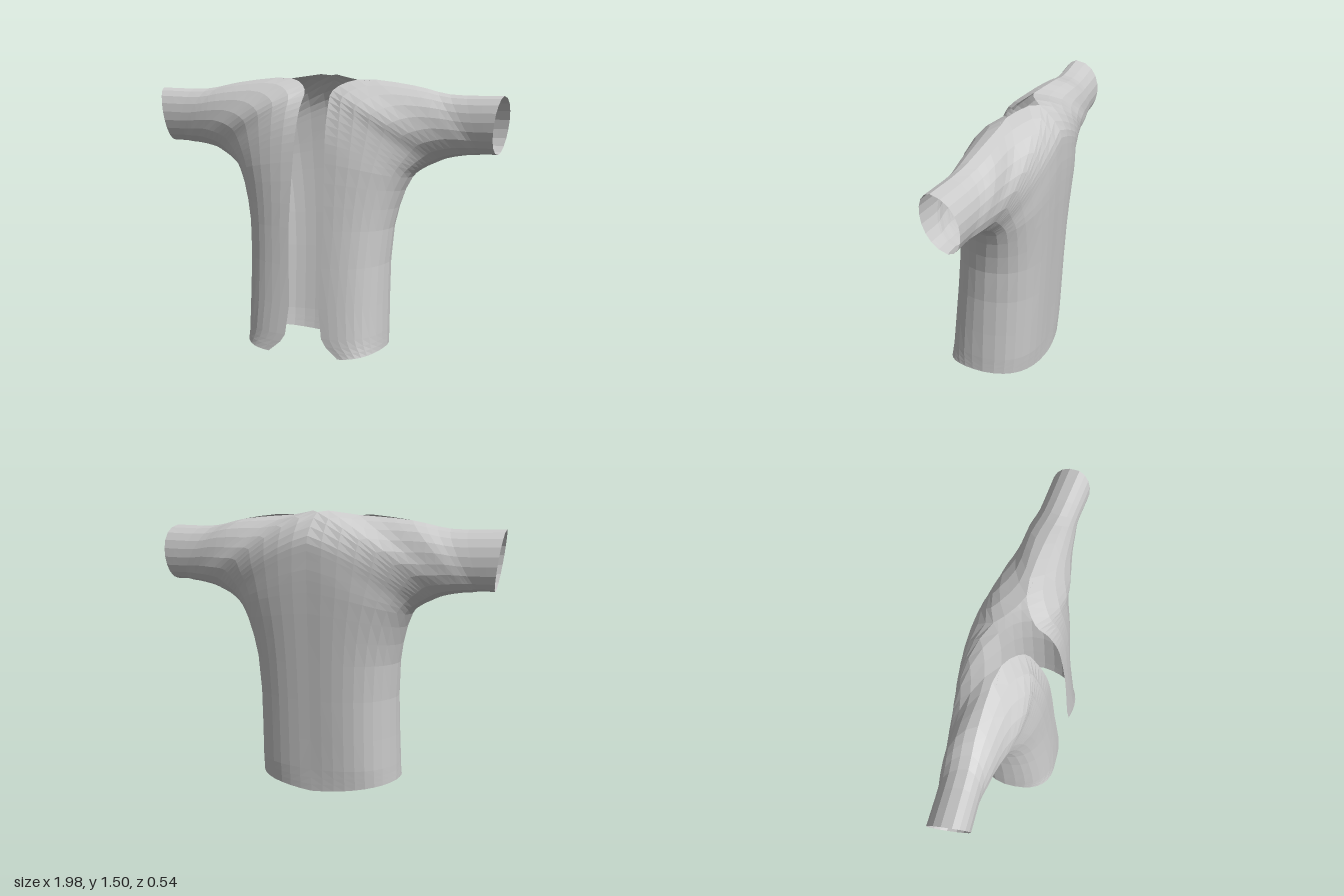
import * as THREE from 'three';

// Ribs run from the hem up the torso, fan around the armpit and end at the cuff.
// Each rib goes from the front edge round the side seam to the back edge.
const FRONT_EDGE = [ // opening, neckline, then top of sleeve
  [0.20, 0.02, 0.27], [0.105, 0.12, 0.265], [0.10, 0.7, 0.22], [0.09, 1.05, 0.185],
  [0.085, 1.2, 0.16], [0.08, 1.33, 0.11], [0.08, 1.42, 0.04], [0.19, 1.475, -0.04],
  [0.5, 1.45, -0.05], [0.7, 1.41, -0.03], [0.98, 1.41, -0.01],
];
const BACK_EDGE = [ // centre back, neckline, then top of sleeve
  [0, 0, -0.22], [0, 0.12, -0.223], [0, 0.7, -0.25], [0, 1.08, -0.268],
  [0, 1.25, -0.27], [0, 1.37, -0.257], [0, 1.49, -0.145], ...FRONT_EDGE.slice(7),
];
const SIDE_SEAM = [ // side, armpit, underside of sleeve
  [0.395, 0.05, 0.02], [0.395, 0.14, 0.02], [0.41, 0.7, -0.01], [0.5, 0.97, -0.06],
  [0.56, 1.02, -0.07], [0.62, 1.05, -0.075], [0.68, 1.075, -0.08], [0.78, 1.095, -0.08],
  [0.84, 1.1, -0.075], [0.87, 1.105, -0.07], [0.935, 1.105, -0.07],
];
// depth of the cloth near the edge and near the side seam
const FRONT_DEPTH = [[0.275, 0.22], [0.275, 0.24], [0.22, 0.17], [0.2, 0.14], [0.185, 0.12],
  [0.19, 0.1], [0.22, 0.1], [0.17, 0.1], [0.12, 0.09], [0.09, 0.08], [0.1, 0.09]];
const BACK_DEPTH = [[-0.22, -0.18], [-0.23, -0.2], [-0.26, -0.22], [-0.28, -0.22], [-0.285, -0.2],
  [-0.28, -0.21], [-0.29, -0.22], [-0.25, -0.22], [-0.23, -0.2], [-0.2, -0.19], [-0.19, -0.18]];
// how far along the rib the edge stays flat: long on the torso, short on the sleeve
const FLATNESS = [0.52, 0.52, 0.52, 0.5, 0.45, 0.4, 0.35, 0.33, 0.2, 0.12, 0.1];

const SUB = 3;        // ribs per station
const AROUND = 9;     // facets from edge to side seam
const LAST = FLATNESS.length - 1;
const PANEL_END = 6;  // station where torso panels meet the sleeve

const curve = (pts) => new THREE.CatmullRomCurve3(
  pts.map(([x, y, z = 0]) => new THREE.Vector3(x, y, z)));
const seam = curve(SIDE_SEAM);

// One rib as a cubic from the edge to the side seam
function rib(edge, depth, station) {
  const t = station / LAST;
  const e = edge.getPoint(t), s = seam.getPoint(t), d = depth.getPoint(t);
  e.x = Math.max(e.x, 0);
  const i = Math.min(Math.floor(station), LAST - 1);
  const flat = THREE.MathUtils.lerp(FLATNESS[i], FLATNESS[i + 1], station - i);
  const near = new THREE.Vector3(
    e.x + (s.x - e.x) * flat, e.y + (s.y - e.y) * flat * 0.5, d.x);
  const far = new THREE.Vector3().lerpVectors(e, s, 0.97).setZ(d.y);
  const points = new THREE.CubicBezierCurve3(e, near, far, s).getPoints(AROUND);
  // slant the cuff so its back reaches further out
  const slant = THREE.MathUtils.smoothstep(station, LAST - 1, LAST) * 0.17;
  points.forEach((p) => { p.x -= p.z * slant; });
  return points;
}

// Sheet of cloth between two stations
function sheet(edge, depth, from, to, side, flip) {
  const positions = [], index = [], row = AROUND + 1;
  const count = (to - from) * SUB;
  for (let r = 0; r <= count; r++) {
    for (const p of rib(edge, depth, from + r / SUB)) positions.push(p.x * side, p.y, p.z);
  }
  for (let r = 0; r < count; r++) {
    for (let c = 0; c < AROUND; c++) {
      const a = r * row + c, b = a + 1, d = a + row, e = d + 1;
      if (flip) index.push(a, d, b, b, d, e);
      else index.push(a, b, d, b, e, d);
    }
  }
  const geometry = new THREE.BufferGeometry();
  geometry.setAttribute('position', new THREE.Float32BufferAttribute(positions, 3));
  geometry.setIndex(index);
  geometry.computeVertexNormals();
  return geometry;
}

export function createModel() {
  const model = new THREE.Group();
  model.name = 'openJacket';
  const cloth = new THREE.MeshStandardMaterial({
    color: 0xcccccc, flatShading: true, side: THREE.DoubleSide,
  });
  const faces = [
    ['Front', curve(FRONT_EDGE), curve(FRONT_DEPTH), false],
    ['Back', curve(BACK_EDGE), curve(BACK_DEPTH), true],
  ];
  for (const [sideName, side] of [['left', 1], ['right', -1]]) {
    const sleeve = new THREE.Group();
    sleeve.name = sideName + 'Sleeve';
    model.add(sleeve);
    for (const [face, edge, depth, back] of faces) {
      const flip = back !== (side < 0);
      const panel = new THREE.Mesh(sheet(edge, depth, 0, PANEL_END, side, flip), cloth);
      panel.name = sideName + face + 'Panel';
      model.add(panel);
      const half = new THREE.Mesh(sheet(edge, depth, PANEL_END, LAST, side, flip), cloth);
      half.name = sideName + 'Sleeve' + face;
      sleeve.add(half);
    }
  }
  return model;
}
